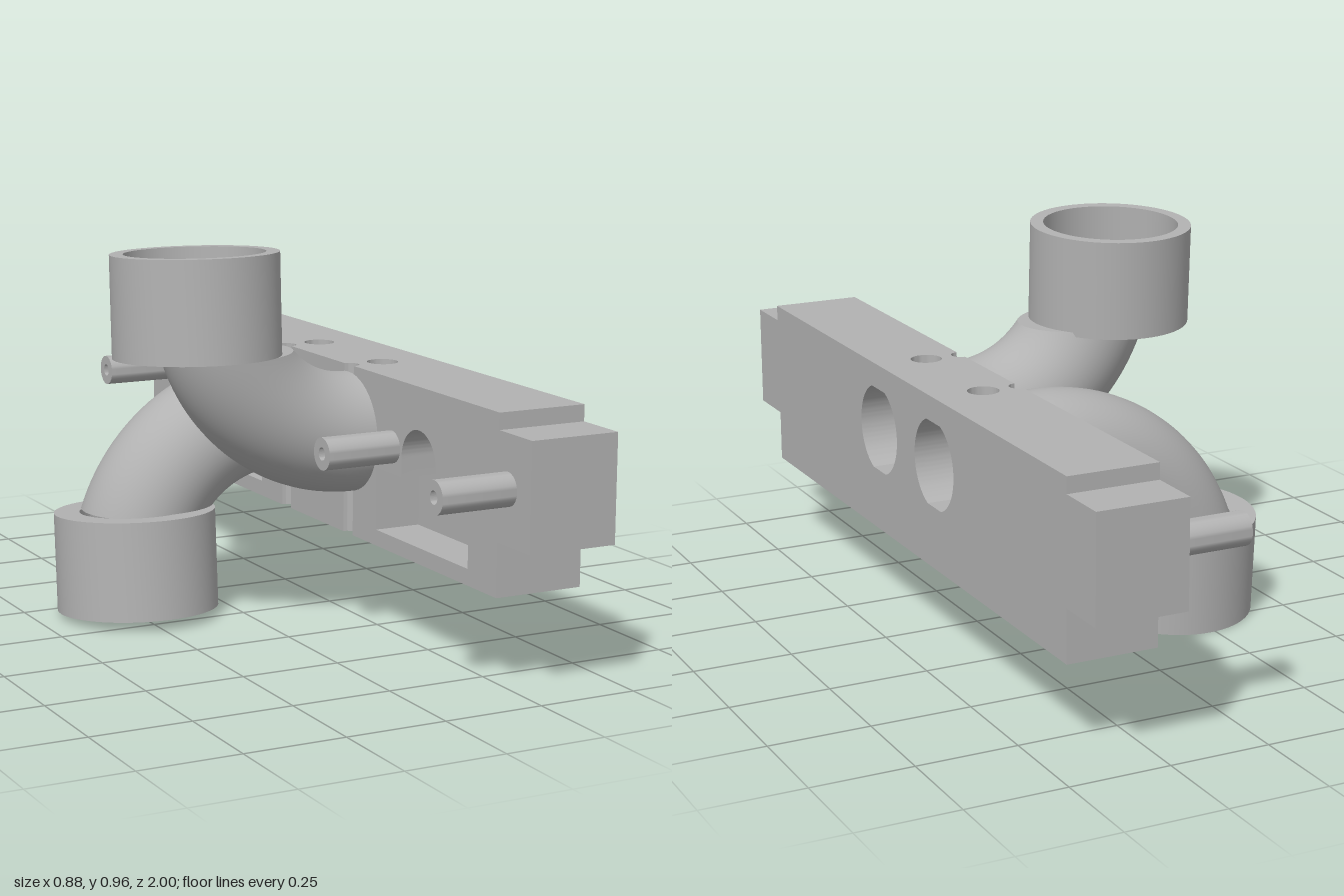
import * as THREE from 'three';
import { toCreasedNormals } from 'three/addons/utils/BufferGeometryUtils.js';
import { ParametricGeometry } from 'three/addons/geometries/ParametricGeometry.js';

const X0 = 0.21, X1 = 0.437, XP = 0.33;      // bar back, bar front, pocket floor
const ZE = 0.865, ZC = 0.167, YC = 0.487;    // bar half length, port centres
const BORE = 0.113, PIPE = 0.15, H = 0.106;  // port radius, pipe radius, half height of middle layer
const B = Math.asin(H / BORE);

export function createModel() {
  const group = new THREE.Group();
  const grey = new THREE.MeshStandardMaterial({ color: 0xb2b2b2, side: THREE.DoubleSide });
  grey.name = 'grey';

  const add = (name, geo, parent = group) => {
    const mesh = new THREE.Mesh(geo, grey);
    mesh.name = name;
    parent.add(mesh);
    return mesh;
  };
  const extrude = (shape, depth) => new THREE.ExtrudeGeometry(shape, { depth, bevelEnabled: false, curveSegments: 24 });

  const bar = new THREE.Group();
  bar.name = 'mountingBar';
  group.add(bar);

  // Horizontal slabs with the vertical screw holes and the half-round grooves
  const slab = (name, y0, y1, pocket) => {
    const s = new THREE.Shape();
    s.moveTo(X1, -ZE);
    s.lineTo(X1, ZE);
    s.lineTo(X0, ZE);
    for (const m of [1, -1]) {
      const notch = () => s.absarc(X0, m * ZC, 0.025, Math.PI / 2, -Math.PI / 2, true);
      const cut = () => {
        if (!pocket) return;
        const [a, b] = m > 0 ? [0.74, 0.31] : [-0.31, -0.74];
        s.lineTo(X0, a); s.lineTo(XP, a); s.lineTo(XP, b); s.lineTo(X0, b);
      };
      if (m > 0) { cut(); notch(); } else { notch(); cut(); }
    }
    s.lineTo(X0, -ZE);
    s.closePath();
    for (const m of [1, -1]) {
      s.holes.push(new THREE.Path().absarc(0.305, m * ZC, 0.039, 0, Math.PI * 2, true));
    }
    const geo = extrude(s, y1 - y0).rotateX(-Math.PI / 2).translate(0, y0, 0);
    add(name, toCreasedNormals(geo, 0.6), bar);
  };
  slab('barBase', 0.225, 0.265, false);
  slab('barLower', 0.265, YC - H, true);
  slab('barTop', YC + H, 0.655, false);

  // Middle layer, split around the two round ports
  const wall = (name, x0, x1, pocket) => {
    const shapes = [];
    const centre = new THREE.Shape();
    centre.absarc(ZC, YC, BORE, Math.PI - B, Math.PI + B, false);
    centre.absarc(-ZC, YC, BORE, -B, B, false);
    centre.closePath();
    shapes.push(centre);
    for (const m of [1, -1]) {
      const s = new THREE.Shape();
      s.moveTo(m * ZE, YC - H);
      s.lineTo(m * ZE, YC + H);
      if (m > 0) s.absarc(ZC, YC, BORE, B, -B, true);
      else s.absarc(-ZC, YC, BORE, Math.PI - B, Math.PI + B, false);
      if (pocket) {
        s.lineTo(m * 0.31, YC - H);
        s.lineTo(m * 0.31, 0.42);
        s.lineTo(m * 0.43, 0.42);
        if (m > 0) s.absarc(0.51, 0.47, 0.08, Math.PI, 0, true);
        else s.absarc(-0.51, 0.47, 0.08, 0, Math.PI, false);
        s.lineTo(m * 0.59, 0.44);
        s.lineTo(m * 0.74, 0.44);
        s.lineTo(m * 0.74, YC - H);
      }
      s.closePath();
      shapes.push(s);
    }
    const geo = extrude(shapes, x1 - x0).rotateY(Math.PI / 2).translate(x0, 0, 0);
    add(name, toCreasedNormals(geo, 0.6), bar);
  };
  wall('barMiddleBack', X0, XP, true);
  wall('barMiddleFront', XP, X1, false);

  // End tongues
  for (const m of [1, -1]) {
    const geo = new THREE.BoxGeometry(X1 - X0, 0.26, 1 - ZE);
    add('endTongue', geo, bar).position.set((X0 + X1) / 2, 0.485, m * (1 + ZE) / 2);
  }

  // Locating pins with a small bore
  const pinProfile = [[0.016, 0], [0.04, 0], [0.04, 0.192], [0.016, 0.192], [0.016, 0]];
  for (const z of [-0.903, -0.383, 0.383, 0.903]) {
    const geo = new THREE.LatheGeometry(pinProfile.map(p => new THREE.Vector2(...p)), 32);
    add('pin', toCreasedNormals(geo.rotateZ(Math.PI / 2), 0.6), bar).position.set(X0, YC, z);
  }

  // Curved pipe, cut off level at height yCut; dir is +1 for up and -1 for down
  const elbow = (name, dir, z, xStart, R, yCut) => {
    const pipe = new THREE.Group();
    pipe.name = name;
    group.add(pipe);
    const point = (a, r, t, out) => {
      const rho = R + r * Math.cos(a);
      const end = Math.acos((R - dir * (yCut - YC)) / rho);
      const straight = 0.125;
      const phi = Math.max(0, (t - straight) / (1 - straight)) * end;
      const x = t < straight ? X0 + (xStart - X0) * t / straight : xStart;
      out.set(x - rho * Math.sin(phi), YC + dir * (R - rho * Math.cos(phi)), z + r * Math.sin(a));
    };
    const turn = u => u * Math.PI * 2 * dir;
    add('pipeOuter', new ParametricGeometry((u, v, o) => point(turn(u), PIPE, v, o), 48, 32), pipe);
    add('pipeBore', new ParametricGeometry((u, v, o) => point(turn(1 - u), BORE, v, o), 48, 32), pipe);
    add('pipeRim', new ParametricGeometry((u, v, o) => point(turn(u), PIPE + (BORE - PIPE) * v, 1, o), 48, 1), pipe);
  };
  elbow('upperElbow', 1, 0.163, X0 - 0.004, 0.37, 0.712);
  elbow('lowerElbow', -1, -0.167, 0.15, 0.39, 0.268);

  // Sockets: open cups with a thin floor ring on the pipe side
  const cup = (name, x, y, z, dir, tilt) => {
    const profile = [[0.14, -0.125], [0.205, -0.125], [0.205, 0.125], [0.172, 0.125], [0.172, -0.1], [0.14, -0.1], [0.14, -0.125]];
    const geo = new THREE.LatheGeometry(profile.map(p => new THREE.Vector2(...p)), 64);
    if (dir < 0) geo.rotateX(Math.PI);
    const mesh = add(name, toCreasedNormals(geo, 0.6));
    mesh.position.set(x, y, z);
    mesh.rotation.x = tilt;
  };
  cup('upperSocket', -0.205, 0.832, 0.155, 1, -0.05);
  cup('lowerSocket', -0.235, 0.142, -0.14, -1, -0.07);

  return group;
}
